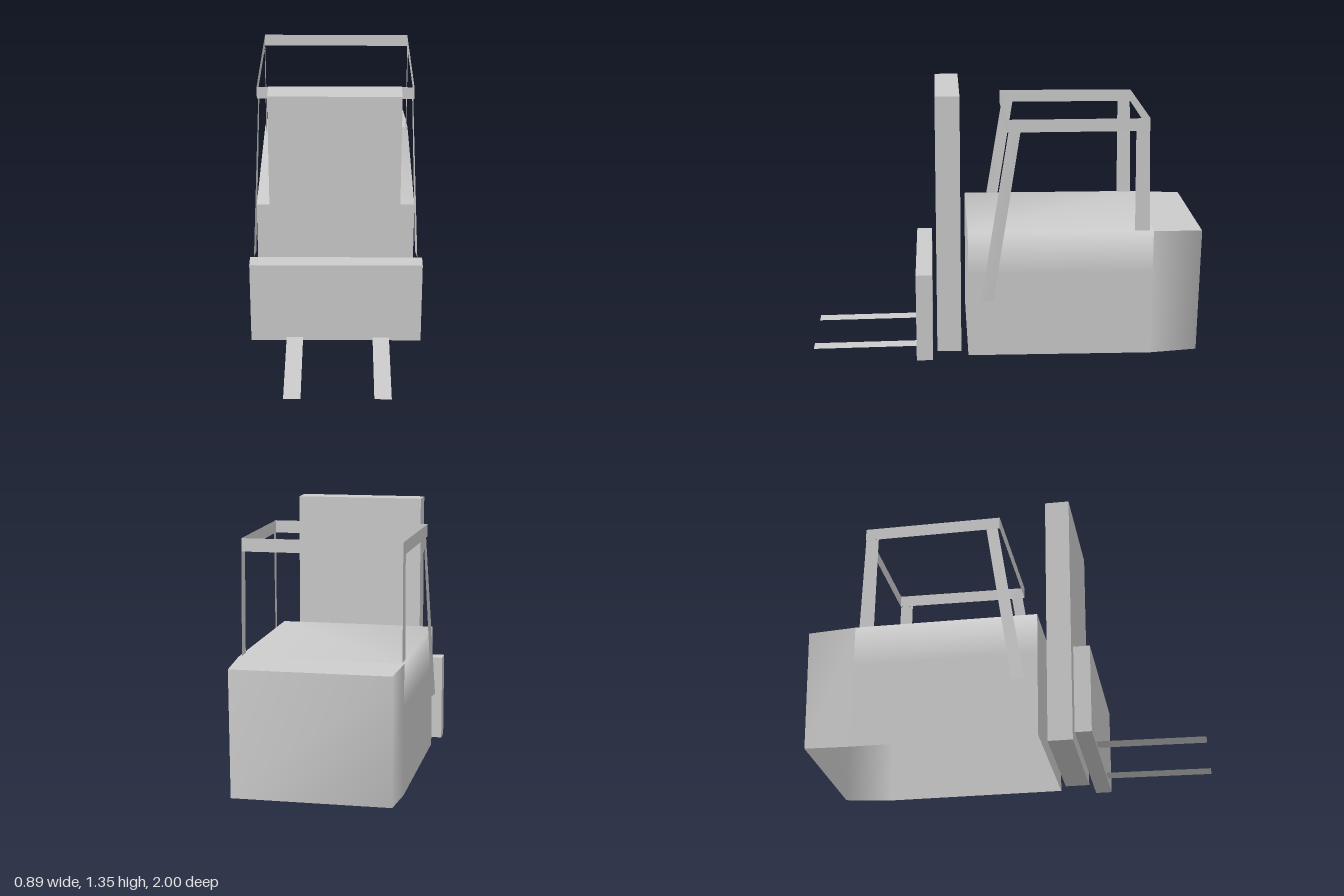
import * as THREE from 'three';

const solid = new THREE.MeshStandardMaterial({ color: 0xcccccc });
const thin = new THREE.MeshStandardMaterial({ color: 0xcccccc, side: THREE.DoubleSide });

// Block given by its limits on each axis
function block(name, [x0, x1], [y0, y1], [z0, z1]) {
  const mesh = new THREE.Mesh(new THREE.BoxGeometry(x1 - x0, y1 - y0, z1 - z0), solid);
  mesh.position.set((x0 + x1) / 2, (y0 + y1) / 2, (z0 + z1) / 2);
  mesh.name = name;
  return mesh;
}

// Thin smooth sheet through rows of points
function sheet(name, rows) {
  const n = rows[0].length;
  const index = [];
  for (let i = 0; i < rows.length - 1; i++) {
    for (let j = 0; j < n - 1; j++) {
      const a = i * n + j, b = a + 1, c = a + n, d = c + 1;
      index.push(a, c, b, b, c, d);
    }
  }
  const geometry = new THREE.BufferGeometry();
  geometry.setAttribute('position', new THREE.Float32BufferAttribute(rows.flat(2), 3));
  geometry.setIndex(index);
  geometry.computeVertexNormals();
  const mesh = new THREE.Mesh(geometry, thin);
  mesh.name = name;
  return mesh;
}

export function createModel() {
  const model = new THREE.Group();
  model.name = 'forklift';

  // Body: hood and sides in one smooth shell, open underneath
  const body = new THREE.Group();
  body.name = 'body';
  const L = 0.405, R = -0.415;
  const section = z => [
    [R, 0.01, z], [R, 0.45, z], [R, 0.665, z],
    [L, 0.665, z], [L, 0.45, z], [L, 0.01, z],
  ];
  body.add(sheet('hood', [section(0.195), section(-0.75)]));
  body.add(sheet('bodyFront', [
    [[R, 0.665, 0.195], [L, 0.665, 0.195]],
    [[R, 0.01, 0.195], [L, 0.01, 0.195]],
  ]));

  // Counterweight: sides narrowing to the back
  const rim = (y, zBack) => [[L, y[0], -0.75], [0.388, y[1], zBack], [-0.4, y[1], zBack], [R, y[0], -0.75]];
  const upper = rim([0.665, 0.658], -1), lower = rim([0.01, 0.02], -0.987);
  body.add(sheet('counterweight', [upper, lower]));
  body.add(sheet('counterweightTop', [[upper[3], upper[0]], [upper[2], upper[1]]]));
  model.add(body);

  // Mast and carriage
  model.add(block('mast', [-0.34, 0.325], [0.005, 1.35], [0.23, 0.355]));
  model.add(block('carriage', [-0.445, 0.442], [0, 0.455], [0.378, 0.461]));

  // Flat forks
  for (const x of [-0.217, 0.233]) {
    model.add(sheet('fork', [
      [[x - 0.043, 0.018, 0.46], [x + 0.043, 0.018, 0.46]],
      [[x - 0.043, 0.01, 1], [x + 0.043, 0.01, 1]],
    ]));
  }

  // Overhead guard: four thin rails and four flat posts
  const guard = new THREE.Group();
  guard.name = 'overheadGuard';
  const corners = [[-0.412, 0], [0.4, 0], [0.39, -0.72], [-0.402, -0.72]];
  corners.forEach(([x, z], i) => {
    const [x2, z2] = corners[(i + 1) % 4];
    guard.add(sheet('guardRail', [
      [[x, 1.245, z], [x2, 1.245, z2]],
      [[x, 1.18, z], [x2, 1.18, z2]],
    ]));
  });
  for (const s of [-1, 1]) {
    const x = v => s * v - 0.005;
    guard.add(sheet('frontPost', [
      [[x(0.398), 1.238, -0.02], [x(0.396), 1.205, -0.075]],
      [[x(0.437), 0.31, 0.13], [x(0.427), 0.31, 0.066]],
    ]));
    guard.add(sheet('rearPost', [
      [[x(0.397), 1.18, -0.65], [x(0.396), 1.18, -0.718]],
      [[x(0.399), 0.665, -0.655], [x(0.398), 0.665, -0.732]],
    ]));
  }
  model.add(guard);
  return model;
}
